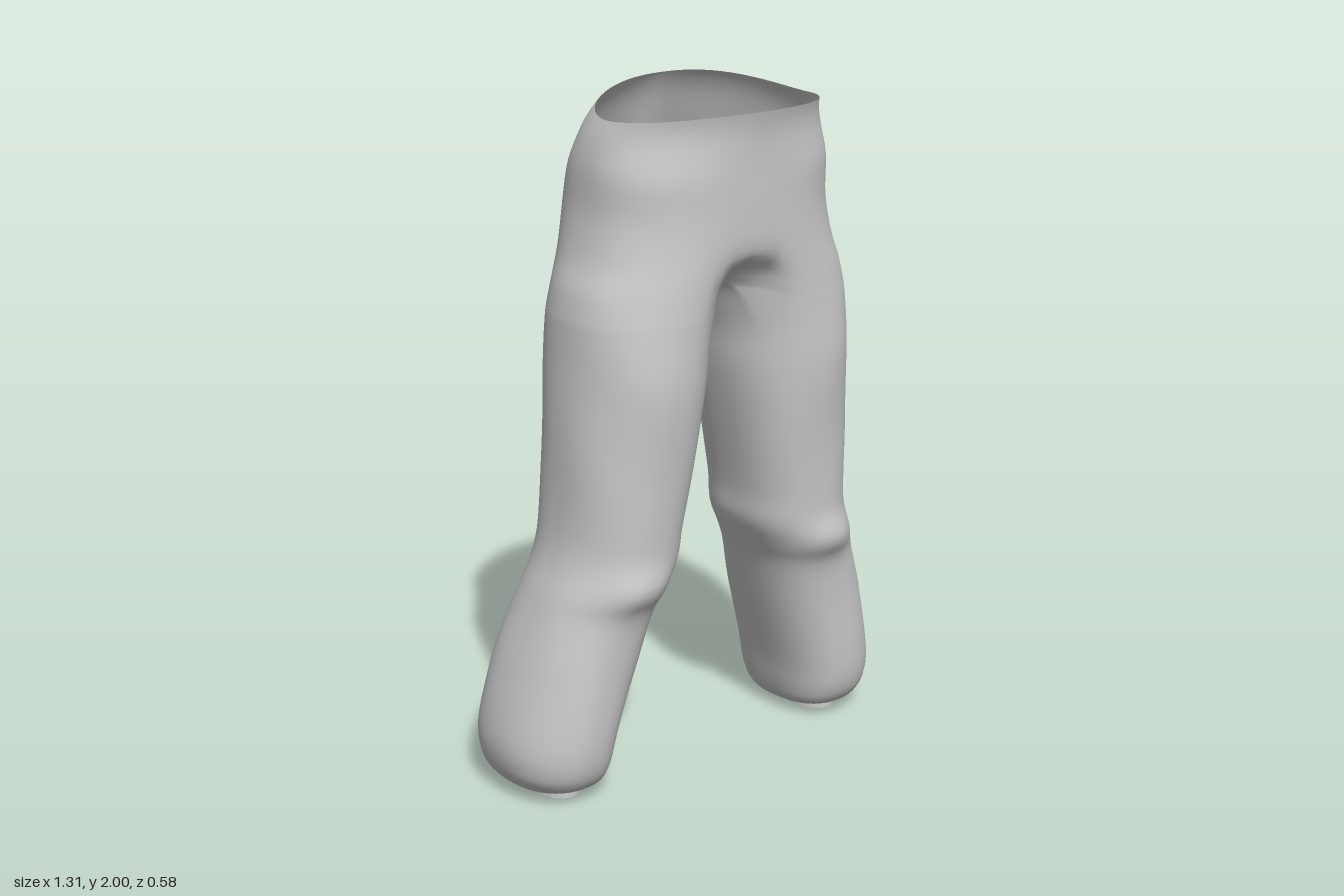
import * as THREE from 'three';
import { mergeVertices } from 'three/addons/utils/BufferGeometryUtils.js';

const CROTCH = 1.41;
const { lerp, clamp, smoothstep, degToRad } = THREE.MathUtils;
const bell = v => Math.exp(-v * v);

// Sections from waist to hem: y, inner x, outer x, front z, back z, front seam dent, back seam dent
const SECTIONS = [
  [1.935, 0.03, 0.35, 0.29, -0.142, 0, 0],
  [1.88, 0.03, 0.37, 0.277, -0.197, 0, 0.01],
  [1.80, 0.03, 0.384, 0.271, -0.248, 0, 0.025],
  [1.68, 0.03, 0.388, 0.268, -0.282, 0, 0.045],
  [1.56, 0.03, 0.41, 0.268, -0.275, 0.01, 0.06],
  [1.48, 0.03, 0.438, 0.266, -0.256, 0.05, 0.085],
  [CROTCH, 0.04, 0.453, 0.264, -0.25, 0.13, 0.13],
  [1.36, 0.045, 0.458, 0.262, -0.245, 0.13, 0.13],
  [1.20, 0.058, 0.465, 0.255, -0.226, 0.13, 0.13],
  [1.00, 0.092, 0.475, 0.233, -0.206, 0, 0],
  [0.80, 0.13, 0.483, 0.216, -0.208, 0, 0],
  [0.70, 0.14, 0.50, 0.206, -0.215, 0, 0],
  [0.62, 0.178, 0.53, 0.195, -0.222, 0, 0],
  [0.55, 0.21, 0.555, 0.178, -0.235, 0, 0],
  [0.40, 0.255, 0.605, 0.165, -0.265, 0, 0],
  [0.20, 0.318, 0.65, 0.155, -0.29, 0, 0],
  [0.10, 0.342, 0.645, 0.142, -0.282, 0, 0],
  [0.048, 0.36, 0.618, 0.118, -0.245, 0, 0],
  [0.026, 0.385, 0.585, 0.085, -0.19, 0, 0],
  [0.034, 0.42, 0.55, 0.05, -0.13, 0, 0],
];
const SUB = 4;       // rows between two sections
const COLS = 48;     // columns round a leg
const OUTER = 36;    // columns from back seam round the hip to front seam

// Catmull-Rom blend through the section table
function sectionAt(k) {
  const i = Math.min(Math.floor(k), SECTIONS.length - 2), t = k - i;
  const row = j => SECTIONS[clamp(j, 0, SECTIONS.length - 1)];
  const [a, b, c, d] = [row(i - 1), row(i), row(i + 1), row(i + 2)];
  return b.map((p, n) => {
    const m0 = (c[n] - a[n]) / 2, m1 = (d[n] - p) / 2, t2 = t * t, t3 = t2 * t;
    return p * (2 * t3 - 3 * t2 + 1) + m0 * (t3 - 2 * t2 + t) + c[n] * (3 * t2 - 2 * t3) + m1 * (t3 - t2);
  });
}

const power = (v, e) => Math.sign(v) * Math.pow(Math.abs(v), e);

// One point on the left half: half a pelvis above the crotch, a closed leg ring below it
function surfacePoint(k, col) {
  const [y, x0, x1, zf, zb, dentF, dentB] = sectionAt(k);
  const zc = (zf + zb) / 2, rz = (zf - zb) / 2;
  const angle = degToRad(-135 + col * 360 / COLS);

  // pelvis shape with a dent along the centre seam
  let px = 0, pz, w = Math.pow(clamp((CROTCH - y) / 0.12, 0, 1), 0.6);
  if (col < OUTER) {
    const u = col / OUTER * 2 - 1, t = u * Math.PI / 2;
    const q = lerp(u < 0 ? 0.9 : 0.8, u < 0 ? 0.9 : 1.1, smoothstep(y, 1.75, 1.93));
    px = col === 0 ? 0 : x1 * power(Math.cos(t), q);
    pz = zc + rz * power(Math.sin(t), q);
    pz += u > 0 ? -dentF * bell(px / 0.08) : dentB * bell(px / 0.07);
    // the hip side turns into a leg gradually, the seam all at once
    w = lerp(1 - smoothstep(y, 1.18, 1.66), w, u ** 8);
  } else {
    pz = lerp(zf - dentF, zb + dentB, (col - OUTER) / (COLS - OUTER));
  }

  // leg shape, squarer except at the outer front, with faint cloth folds and a kneecap bulge
  const cos = Math.cos(angle), sin = Math.sin(angle);
  const e = cos > 0 && sin > 0 ? 0.96 : lerp(0.8, 0.92, smoothstep(y, 1.0, 1.4));
  const fold = 1 + 0.012 * Math.sin(3 * angle + 9 * y) * Math.sin(5 * y + angle);
  const lx = (x0 + x1) / 2 + (x1 - x0) / 2 * power(cos, e) * fold;
  const knee = sin > 0 ? 0.026 * bell((lx - 0.35) / 0.11) * bell((y - 0.64) / 0.06) : 0;
  const lz = zc + rz * power(sin, e) * fold + knee;
  const x = lerp(px, lx, w), z = lerp(pz, lz, w);

  // waist rises at the back, crotch seam slopes down to the back, hem tips down at the heel
  const s = (z - zc) / rz;
  const rise = s * s * (s > 0 ? 0.015 : 0.065) * smoothstep(y, 1.82, 1.935);
  const slope = 0.35 * z * bell(x / 0.12) * bell((y - CROTCH) / 0.1);
  const tip = 0.08 * (z + 0.04) * (1 - smoothstep(y, 0.04, 0.2));
  return [x, y + rise + slope + tip, z];
}

function trouserGeometry() {
  const rows = (SECTIONS.length - 1) * SUB;
  const crotchRow = SECTIONS.findIndex(s => s[0] === CROTCH) * SUB;
  const pos = [], index = [];
  for (const side of [1, -1]) {
    const base = pos.length / 3;
    for (let r = 0; r <= rows; r++) {
      for (let c = 0; c < COLS; c++) {
        const [x, y, z] = surfacePoint(r / SUB, c);
        pos.push(side * x, y, z);
      }
    }
    for (let r = 0; r < rows; r++) {
      // no inner leg above the crotch
      for (let c = 0; c < (r < crotchRow ? OUTER : COLS); c++) {
        const n = (c + 1) % COLS;
        const a = base + r * COLS + c, b = base + r * COLS + n;
        const d = b + COLS, e = a + COLS;
        if (side > 0) index.push(a, b, d, a, d, e);
        else index.push(a, d, b, a, e, d);
      }
    }
  }
  let geo = new THREE.BufferGeometry();
  geo.setAttribute('position', new THREE.Float32BufferAttribute(pos, 3));
  geo.setIndex(index);
  geo = mergeVertices(geo, 1e-4);
  geo.computeVertexNormals();
  return geo;
}

export function createModel() {
  const model = new THREE.Group();
  model.name = 'trousers';
  const cloth = new THREE.MeshStandardMaterial({ color: 0xcccccc, side: THREE.DoubleSide });
  const add = (name, geo, x = 0, y = 0, z = 0) => {
    const mesh = new THREE.Mesh(geo, cloth);
    mesh.name = name;
    mesh.position.set(x, y, z);
    model.add(mesh);
    return mesh;
  };

  add('trouserCloth', trouserGeometry());

  // gathered cloth at the crotch
  const gather = add('crotchGather', new THREE.IcosahedronGeometry(1, 1), 0, 1.395, 0.01);
  gather.scale.set(0.045, 0.06, 0.06);

  // small cuff and its recessed end under each leg
  for (const [side, name] of [[1, 'left'], [-1, 'right']]) {
    const cuff = add(name + 'Cuff', new THREE.CylinderGeometry(1, 1, 0.04, 20, 1, true), side * 0.485, 0.02, -0.04);
    cuff.scale.set(0.066, 1, 0.09);
    const end = add(name + 'CuffEnd', new THREE.CircleGeometry(1, 20).rotateX(Math.PI / 2), side * 0.485, 0.018, -0.04);
    end.scale.set(0.066, 1, 0.09);
  }
  return model;
}
